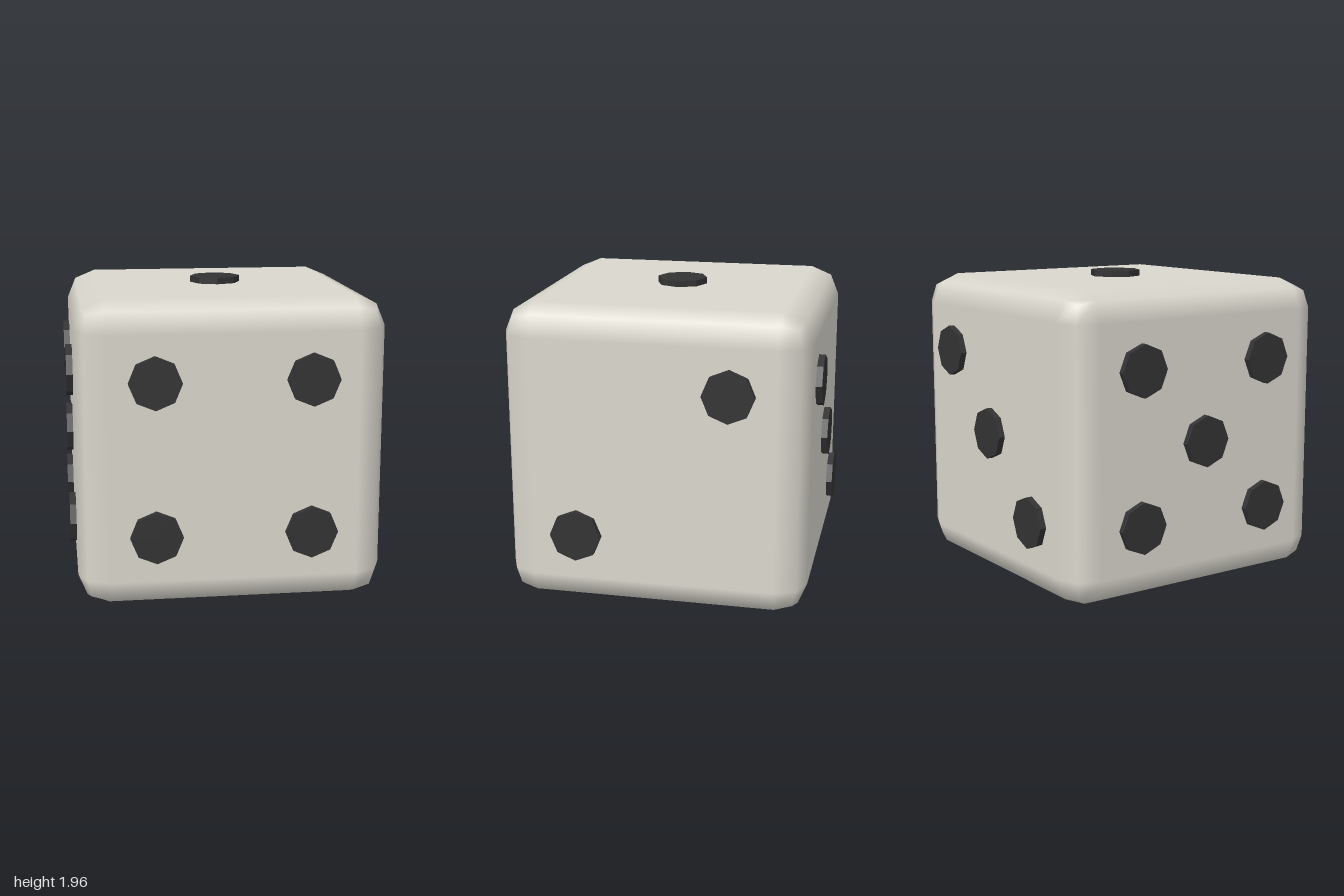
import * as THREE from 'three';
import { RoundedBoxGeometry } from 'three/addons/geometries/RoundedBoxGeometry.js';

const SIZE = 1.92, HALF = SIZE / 2, BEVEL = 0.19;
const PIP_RADIUS = 0.163, PIP_DEPTH = 0.08, STEP = 0.48;

export function createModel() {
  const ivory = new THREE.MeshStandardMaterial({ color: 0xdad7cd });
  ivory.name = 'ivory';
  const black = new THREE.MeshStandardMaterial({ color: 0x333333, flatShading: true });
  black.name = 'black';

  const die = new THREE.Group();
  die.name = 'die';

  // cube with softly bevelled edges
  const body = new THREE.Mesh(new RoundedBoxGeometry(SIZE, SIZE, SIZE, 1, BEVEL), ivory);
  body.name = 'body';
  body.position.y = HALF;
  die.add(body);

  // raised eight-sided pips, each laid out in its face's own x and y
  const pipGeometry = new THREE.CylinderGeometry(PIP_RADIUS, PIP_RADIUS, PIP_DEPTH, 8);
  pipGeometry.rotateX(Math.PI / 2);
  const corners = [[-1, -1], [1, -1], [-1, 1], [1, 1]];
  const faces = [
    { name: 'topPips', turn: [-Math.PI / 2, 0], spots: [[0, 0]] },
    { name: 'rightPips', turn: [0, Math.PI / 2], spots: [[-1, -1], [1, 1]] },
    { name: 'backPips', turn: [0, Math.PI], spots: [[-1, 1], [0, 0], [1, -1]] },
    { name: 'frontPips', turn: [0, 0], spots: corners },
    { name: 'leftPips', turn: [0, -Math.PI / 2], spots: [...corners, [0, 0]] },
  ];
  for (const { name, turn, spots } of faces) {
    const face = new THREE.Group();
    face.name = name;
    face.position.y = HALF;
    face.rotation.set(turn[0], turn[1], 0);
    for (const [u, v] of spots) {
      const pip = new THREE.Mesh(pipGeometry, black);
      pip.name = 'pip';
      pip.position.set(u * STEP, v * STEP, HALF);
      face.add(pip);
    }
    die.add(face);
  }
  return die;
}
